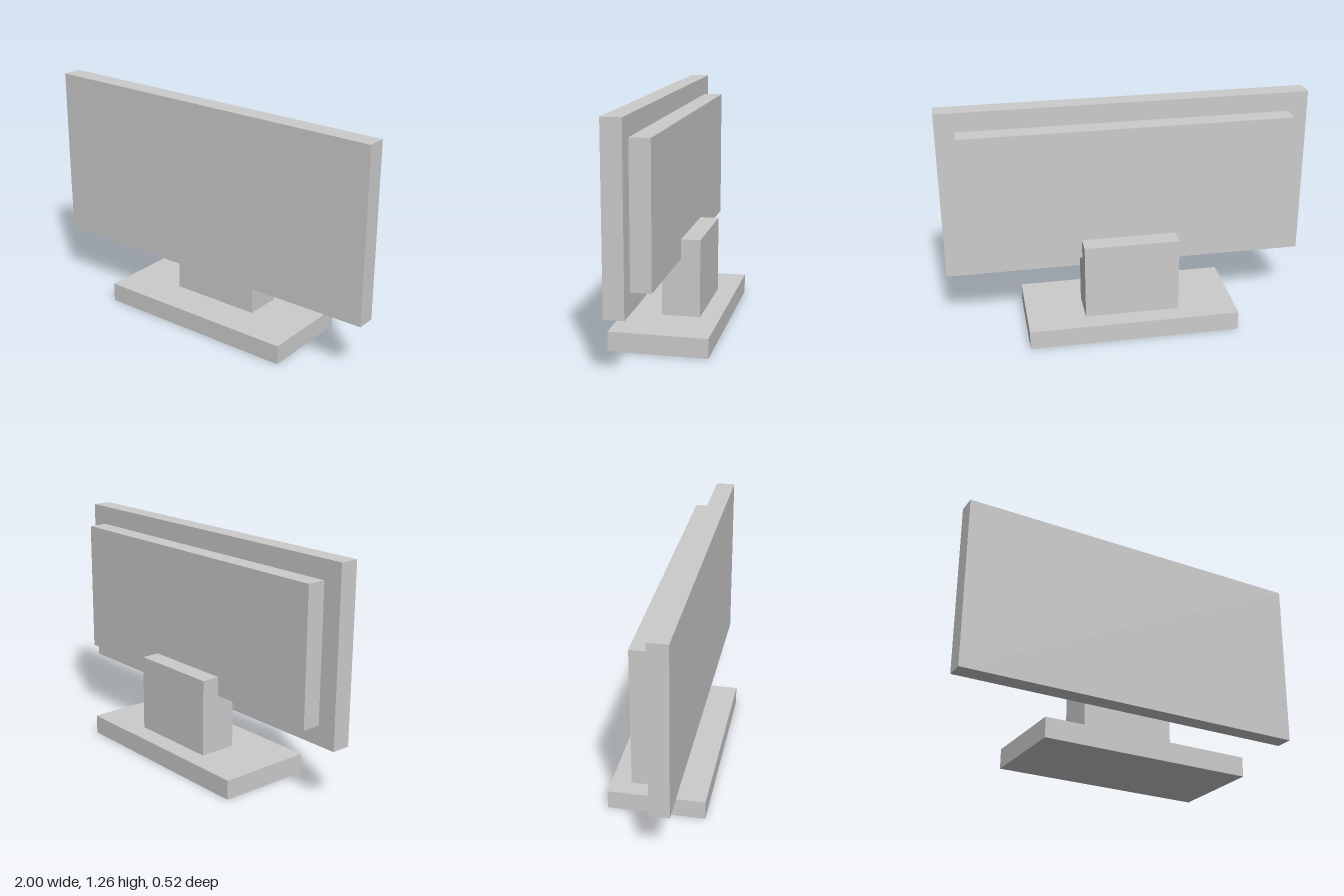
import * as THREE from 'three';

const material = new THREE.MeshStandardMaterial({ color: 0xcccccc, flatShading: true });

export function createModel() {
  const group = new THREE.Group();

  const add = (name, geometry) => {
    const mesh = new THREE.Mesh(geometry, material);
    mesh.name = name;
    group.add(mesh);
    return mesh;
  };

  // Box centred on x, given its width and its y and z ranges
  const slab = (name, width, y0, y1, z0, z1) =>
    add(name, new THREE.BoxGeometry(width, y1 - y0, z1 - z0))
      .position.set(0, (y0 + y1) / 2, (z0 + z1) / 2);

  slab('base', 1.16, 0, 0.106, -0.262, 0.262);
  slab('screen', 2, 0.317, 1.265, 0.053, 0.157);
  slab('backHousing', 1.79, 0.423, 1.16, -0.052, 0.053);

  // Stepped stand: runs under the housing and up behind it (profile in z, y)
  const width = 0.52;
  const profile = new THREE.Shape([
    [-0.155, 0.106], [0.053, 0.106], [0.053, 0.423],
    [-0.052, 0.423], [-0.052, 0.528], [-0.155, 0.528],
  ].map(([z, y]) => new THREE.Vector2(z, y)));
  const stand = new THREE.ExtrudeGeometry(profile, { depth: width, bevelEnabled: false });
  stand.translate(0, 0, -width / 2).rotateY(-Math.PI / 2);
  add('stand', stand);

  return group;
}
